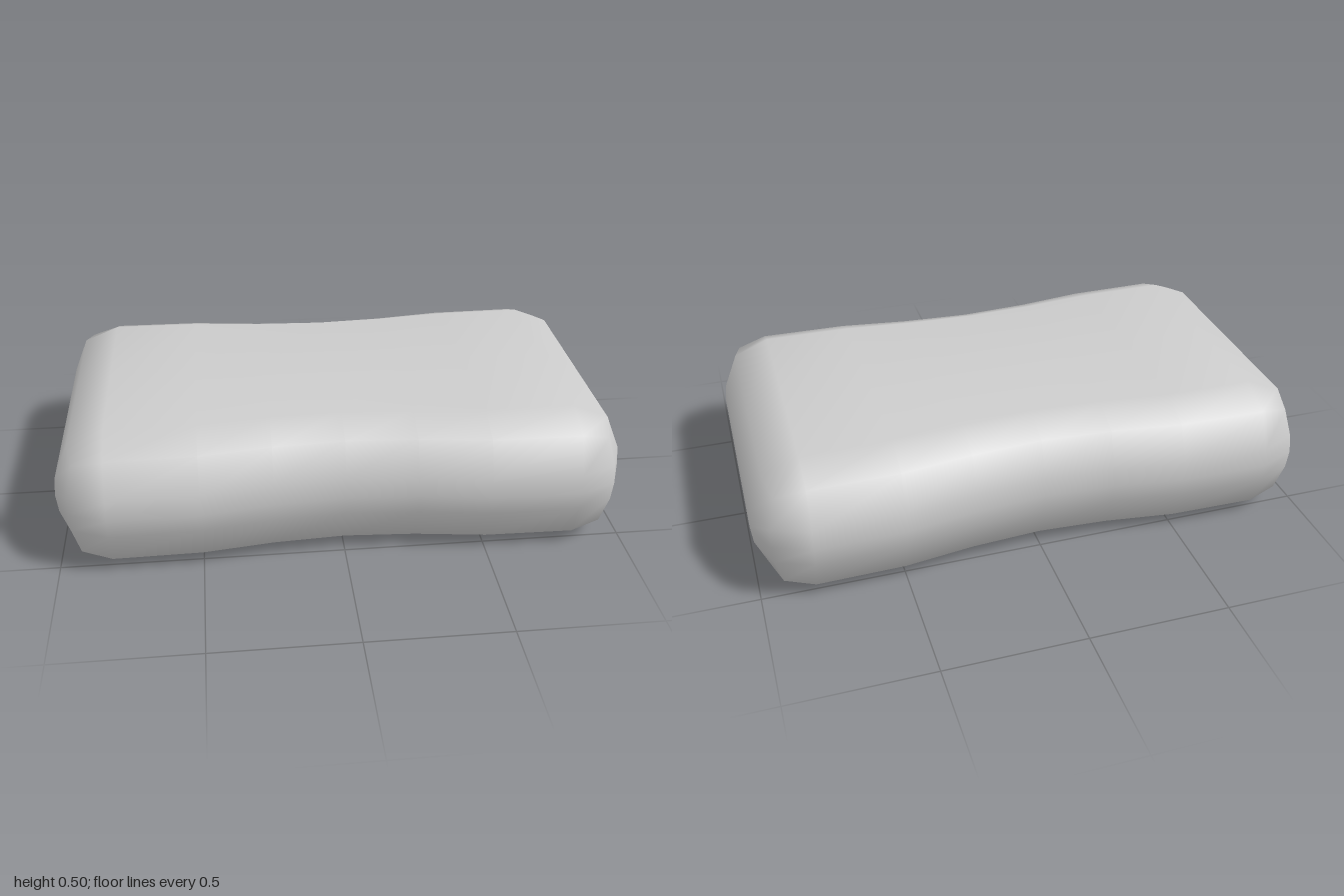
import * as THREE from 'three';
import { mergeVertices } from 'three/addons/utils/BufferGeometryUtils.js';

const RADIUS = 0.18;
const BULGE = 0.187; // slightly fuller rounding along the middle of the sides

// Core half-extents by grid step from the centre; the last step is the rounded edge
const CORE_X = [0, 0.25, 0.5, 0.813, 0.813];
const CORE_Y = [0, 0.0675, 0.0675];
const CORE_Z = [0, 0.413, 0.413];
// Depth scale by x step, narrowing to a waist in the middle
const WAIST = [0.9, 0.928, 0.99, 1, 1];

// Rounded block: an integer box grid wrapped around a smaller core
function waistedBlock() {
  const box = new THREE.BoxGeometry(8, 4, 4, 8, 4, 4);
  box.deleteAttribute('uv');
  box.deleteAttribute('normal');
  const geometry = mergeVertices(box);
  const pos = geometry.attributes.position;
  const core = (table, i) => Math.sign(i) * table[Math.abs(i)];
  const edge = (i, last) => (Math.abs(i) === last ? Math.sign(i) : 0);
  const dir = new THREE.Vector3();

  for (let v = 0; v < pos.count; v++) {
    const i = Math.round(pos.getX(v));
    const j = Math.round(pos.getY(v));
    const k = Math.round(pos.getZ(v));
    dir.set(edge(i, 4), edge(j, 2), edge(k, 2)).normalize();
    dir.multiplyScalar(j === 0 ? BULGE : RADIUS);
    pos.setXYZ(
      v,
      core(CORE_X, i) + dir.x,
      core(CORE_Y, j) + dir.y + CORE_Y[2] + RADIUS,
      (core(CORE_Z, k) + dir.z) * WAIST[Math.abs(i)]
    );
  }
  geometry.computeVertexNormals();
  return geometry;
}

export function createModel() {
  const group = new THREE.Group();
  group.name = 'waistedBar';
  const body = new THREE.Mesh(
    waistedBlock(),
    new THREE.MeshStandardMaterial({ color: 0xcccccc })
  );
  body.name = 'body';
  group.add(body);
  return group;
}
